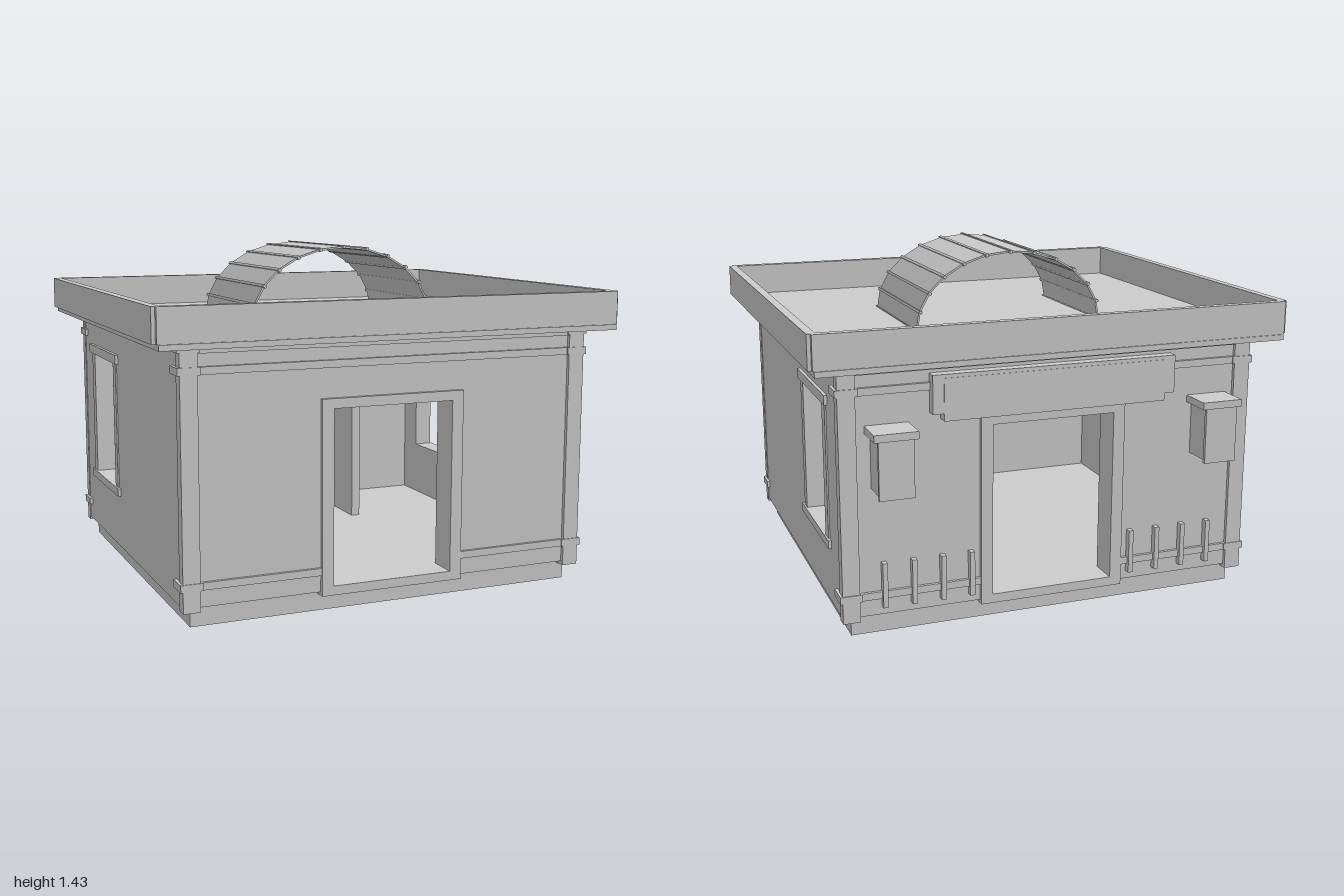
import * as THREE from 'three';

export function createModel() {
  const model = new THREE.Group();
  const plaster = new THREE.MeshStandardMaterial({ color: 0xcccccc });
  plaster.name = 'light grey plaster';

  // Box given by its min and max on each axis
  function box(parent, name, x0, x1, y0, y1, z0, z1) {
    const mesh = new THREE.Mesh(new THREE.BoxGeometry(x1 - x0, y1 - y0, z1 - z0), plaster);
    mesh.position.set((x0 + x1) / 2, (y0 + y1) / 2, (z0 + z1) / 2);
    mesh.name = name;
    parent.add(mesh);
    return mesh;
  }
  function group(parent, name) {
    const g = new THREE.Group();
    g.name = name;
    parent.add(g);
    return g;
  }
  // Flat slab with one rectangular opening, extruded along z
  function rect(target, x0, x1, y0, y1) {
    target.moveTo(x0, y0).lineTo(x1, y0).lineTo(x1, y1).lineTo(x0, y1).closePath();
    return target;
  }
  function pierced(parent, name, outer, hole, depth) {
    const shape = rect(new THREE.Shape(), ...outer);
    shape.holes.push(rect(new THREE.Path(), ...hole));
    const geo = new THREE.ExtrudeGeometry(shape, { depth, bevelEnabled: false });
    const mesh = new THREE.Mesh(geo, plaster);
    mesh.name = name;
    parent.add(mesh);
    return mesh;
  }

  // Plinth and floor
  box(model, 'plinth', -0.84, 0.84, 0, 0.09, -0.74, 0.78);
  box(model, 'floor', -0.8, 0.8, 0.09, 0.108, -0.735, 0.78);

  // Side walls with framed windows
  for (const s of [-1, 1]) {
    const side = group(model, s > 0 ? 'leftSide' : 'rightSide');
    const wall = pierced(side, 'sideWall', [-0.78, 0.735, 0.085, 1.09], [0.185, 0.53, 0.355, 0.91], 0.077);
    wall.rotation.y = Math.PI / 2;
    wall.position.x = s > 0 ? 0.8 : -0.877;
    const plate = (name, y0, y1, z0, z1, out) =>
      box(side, name, s > 0 ? 0.85 : -out, s > 0 ? out : -0.85, y0, y1, z0, z1);
    plate('windowLintel', 0.91, 0.95, -0.605, -0.115, 0.89);
    plate('windowSill', 0.32, 0.355, -0.605, -0.115, 0.89);
    plate('windowJamb', 0.355, 0.91, -0.185, -0.14, 0.883);
    plate('windowJamb', 0.355, 0.91, -0.58, -0.53, 0.883);
  }

  // Front and back facades, same design turned around
  for (const back of [false, true]) {
    const facade = group(model, back ? 'backFacade' : 'frontFacade');
    facade.position.z = 0.0225;
    if (back) facade.rotation.y = Math.PI;
    const wall = pierced(facade, 'facadeWall', [-0.82, 0.82, 0.085, 1.09], [-0.26, 0.26, 0.108, 0.82], 0.11);
    wall.position.z = 0.68;
    const frame = pierced(facade, 'doorFrame', [-0.31, 0.31, 0.07, 0.86], [-0.26, 0.26, 0.108, 0.82], 0.05);
    frame.position.z = 0.757;
    box(facade, 'topRail', -0.81, 0.81, 0.98, 1.01, 0.75, 0.803);
    box(facade, 'cornerRail', -0.81, 0.81, 1.06, 1.09, 0.75, 0.803);
    for (const s of [-1, 1]) {
      const span = (name, a, b, ...rest) =>
        box(facade, name, Math.min(s * a, s * b), Math.max(s * a, s * b), ...rest);
      span('cornerPost', 0.81, 0.88, 0.07, 1.09, 0.757, 0.805);
      span('bottomRail', 0.31, 0.81, 0.155, 0.185, 0.75, 0.803);
      for (const [y0, y1] of [[0.155, 0.185], [0.98, 1.01], [1.065, 1.085]]) {
        span('cornerBand', 0.8, 0.89, y0, y1, 0.712, 0.809);
      }
    }
  }

  // Signboard and fittings on the back
  box(model, 'signBoard', -0.47, 0.47, 0.86, 1.03, -0.815, -0.765);
  box(model, 'signBoardEnds', -0.515, 0.515, 0.89, 1.045, -0.813, -0.765);
  for (const s of [-1, 1]) {
    const lamp = group(model, 'wallLamp');
    lamp.position.x = s * 0.6875;
    box(lamp, 'lampCap', -0.0875, 0.0875, 0.83, 0.86, -0.91, -0.765);
    box(lamp, 'lampBody', -0.065, 0.065, 0.61, 0.83, -0.89, -0.765);
    box(lamp, 'lampFace', -0.07, 0.07, 0.6, 0.83, -0.905, -0.89);
    for (let i = 0; i < 4; i++) {
      const x = s * (0.35 + 0.12 * i);
      box(model, 'wallBar', x - 0.01, x + 0.01, 0.12, 0.305, -0.795, -0.76);
    }
  }

  // Short inner partition
  box(model, 'partition', 0.27, 0.31, 0.108, 1.09, -0.45, -0.17);

  // Roof slab and parapet
  const roof = group(model, 'roof');
  box(roof, 'roofSlab', -0.98, 0.98, 1.085, 1.108, -0.873, 0.913);
  box(roof, 'frontParapet', -0.985, 0.985, 1.108, 1.245, 0.87, 0.907);
  box(roof, 'backParapet', -0.985, 0.985, 1.108, 1.245, -0.868, -0.835);
  box(roof, 'leftParapet', 0.965, 1.0, 1.108, 1.245, -0.85, 0.888);
  box(roof, 'rightParapet', -1.0, -0.965, 1.108, 1.245, -0.85, 0.888);

  // Arched skylight of flat panels with ribs at the joints
  const skylight = group(roof, 'skylight');
  const arc = (i) => {
    const t = (i / 12) * Math.PI;
    return new THREE.Vector2(-0.415 * Math.cos(t), 1.105 + 0.315 * Math.sin(t));
  };
  for (let i = 0; i <= 12; i++) {
    const a = arc(i);
    if (i < 12) {
      const b = arc(i + 1);
      const panel = box(skylight, 'skylightPanel', 0, a.distanceTo(b), 0, 0.008, -0.285, 0.322);
      panel.position.set((a.x + b.x) / 2, (a.y + b.y) / 2, 0.0185);
      panel.rotation.z = Math.atan2(b.y - a.y, b.x - a.x);
    }
    const rib = box(skylight, 'skylightRib', a.x - 0.006, a.x + 0.006, a.y - 0.006, a.y + 0.008, -0.3, 0.337);
    rib.rotation.z = Math.PI / 2 - (i / 12) * Math.PI;
  }
  return model;
}
